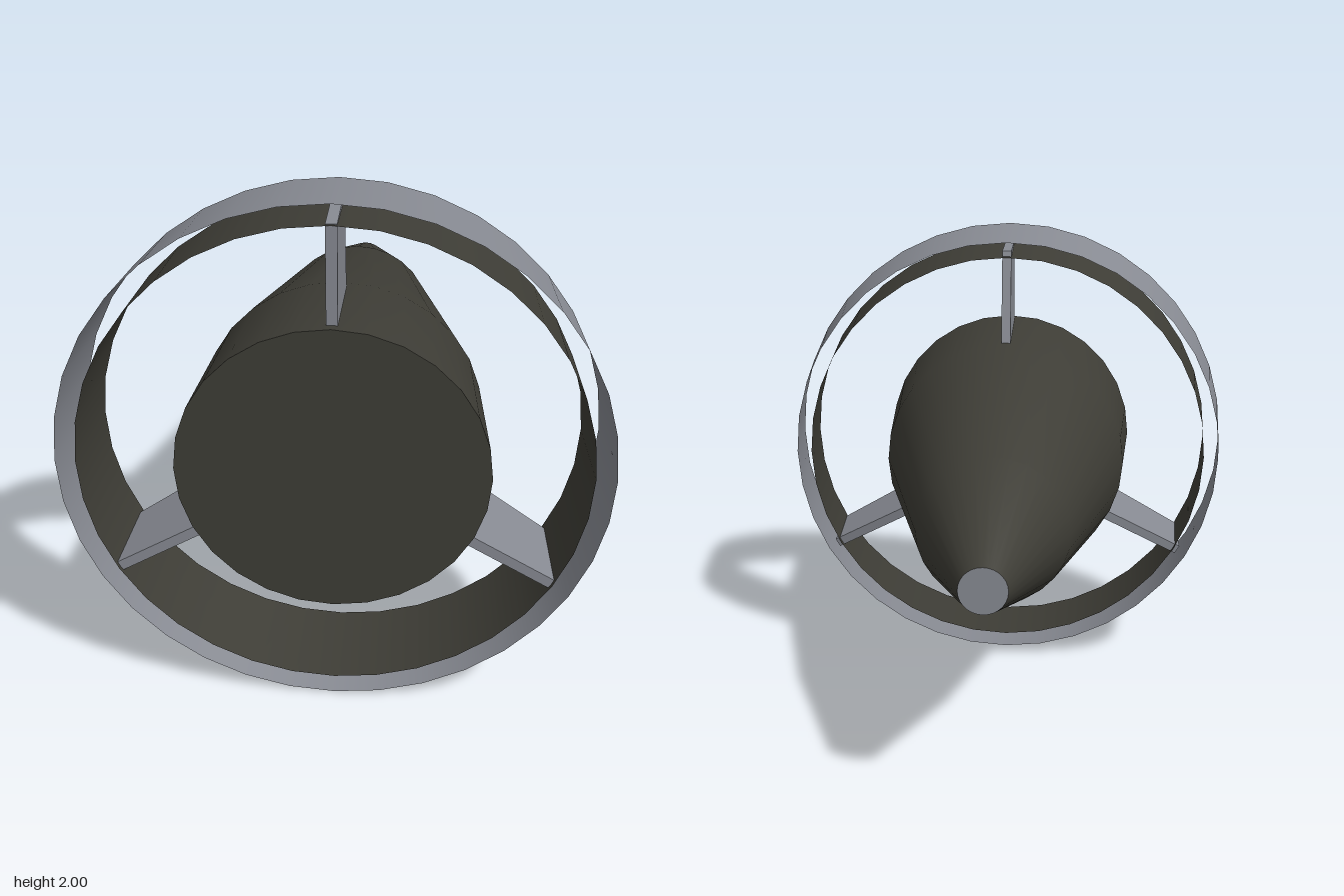
import * as THREE from 'three';

export function createModel() {
  const model = new THREE.Group();
  const grey = new THREE.MeshStandardMaterial({ color: 0x888b93, side: THREE.DoubleSide });
  grey.name = 'steel grey';
  const dark = new THREE.MeshStandardMaterial({ color: 0x3e3d36, side: THREE.DoubleSide });
  dark.name = 'dark olive';

  const add = (name, geometry, material, z = 0) => {
    const mesh = new THREE.Mesh(geometry, material);
    mesh.name = name;
    mesh.position.set(0, 1, z);
    model.add(mesh);
    return mesh;
  };

  // Surface of revolution about z, from [radius, z] pairs running back to front
  const revolve = (profile, segments) =>
    new THREE.LatheGeometry(profile.map(([r, z]) => new THREE.Vector2(r, z)), segments).rotateX(Math.PI / 2);

  // Tapered centre body with its two end discs
  const sides = 28;
  add('body', revolve([[0.09, -0.975], [0.305, -0.4], [0.53, 0.5], [0.565, 0.975]], sides), dark);
  add('frontDisc', new THREE.CircleGeometry(0.565, sides).rotateZ(Math.PI / 2), dark, 0.975);
  add('tailDisc', new THREE.CircleGeometry(0.09, sides).rotateZ(Math.PI / 2).rotateY(Math.PI), grey, -0.975);

  // Open double-walled ring
  add('ringOuterWall', revolve([[0.965, 0.59], [1.0, 0.95]], 36), grey);
  add('ringInnerWall', revolve([[0.9, 0.59], [0.925, 0.95]], 36), dark);

  // Three struts between body and ring, with slanted rear edges
  const strut = new THREE.Shape([
    [0.535, 0.5], [0.935, 0.5], [0.935, 0.925], [0.62, 0.925],
  ].map(([z, r]) => new THREE.Vector2(z, r)));
  const strutGeometry = new THREE.ExtrudeGeometry(strut, { depth: 0.04, bevelEnabled: false })
    .translate(0, 0, -0.02)
    .rotateY(-Math.PI / 2);
  for (let i = 0; i < 3; i++) {
    add('strut', strutGeometry, grey).rotation.z = (i * 2 * Math.PI) / 3;
  }

  return model;
}
